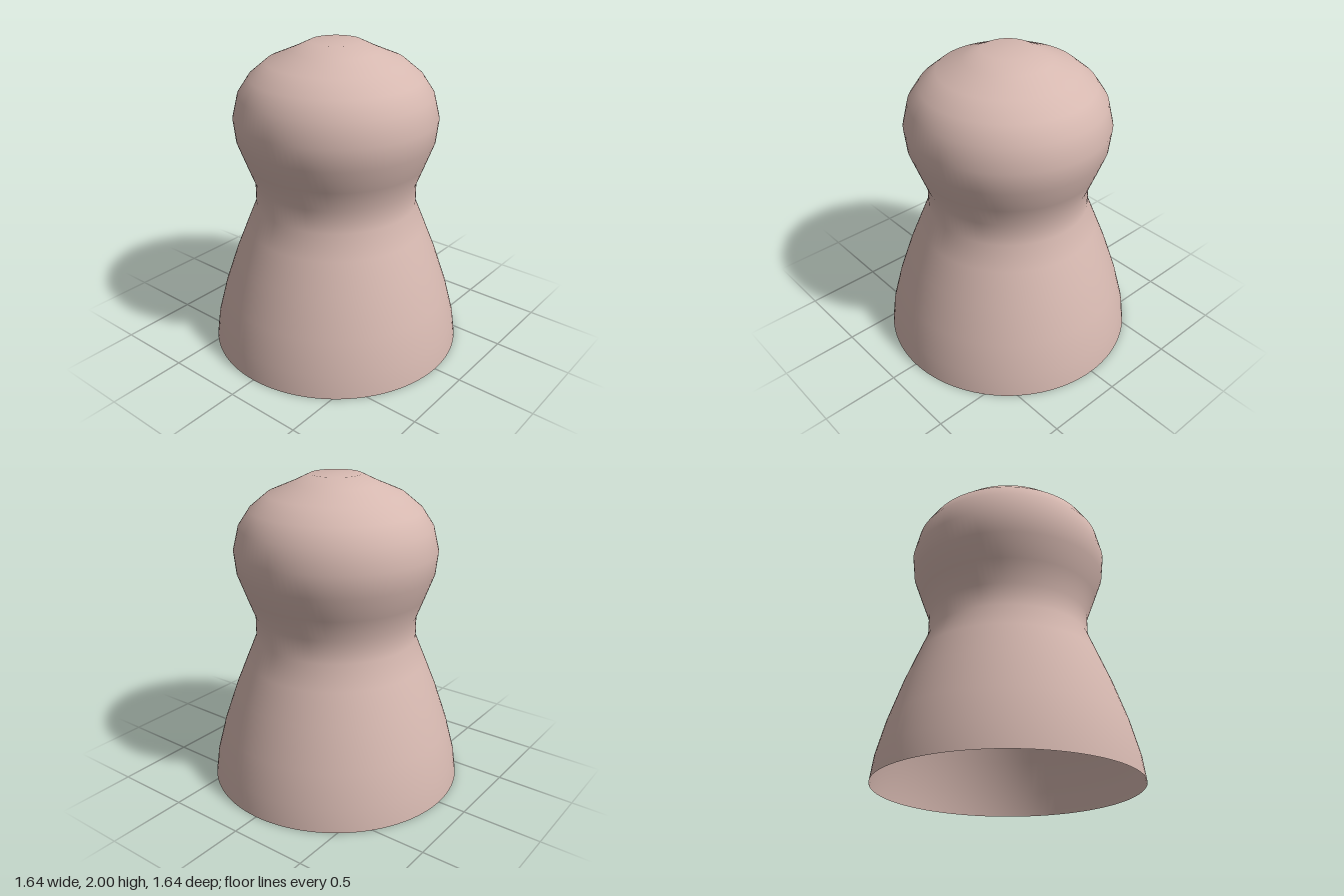
import * as THREE from 'three';

export function createModel() {
  const group = new THREE.Group();
  group.name = 'pawnShape';

  const clay = new THREE.MeshStandardMaterial({ color: 0xd6b8b0, side: THREE.DoubleSide });
  clay.name = 'dusty pink';

  // Profile from the open base, past the neck, to the flat crown
  const profile = [
    [0.82, 0], [0.80, 0.15], [0.745, 0.36], [0.66, 0.61], [0.58, 0.81],
    [0.517, 0.965], [0.517, 1.11], [0.57, 1.25], [0.625, 1.4], [0.64, 1.54],
    [0.605, 1.685], [0.535, 1.79], [0.427, 1.88], [0.27, 1.947], [0.16, 2], [0, 2],
  ].map(([r, y]) => new THREE.Vector2(r, y));

  // One smooth hollow shell, open underneath
  const shell = new THREE.Mesh(new THREE.LatheGeometry(profile, 96), clay);
  shell.name = 'bodyAndHead';
  group.add(shell);

  return group;
}
